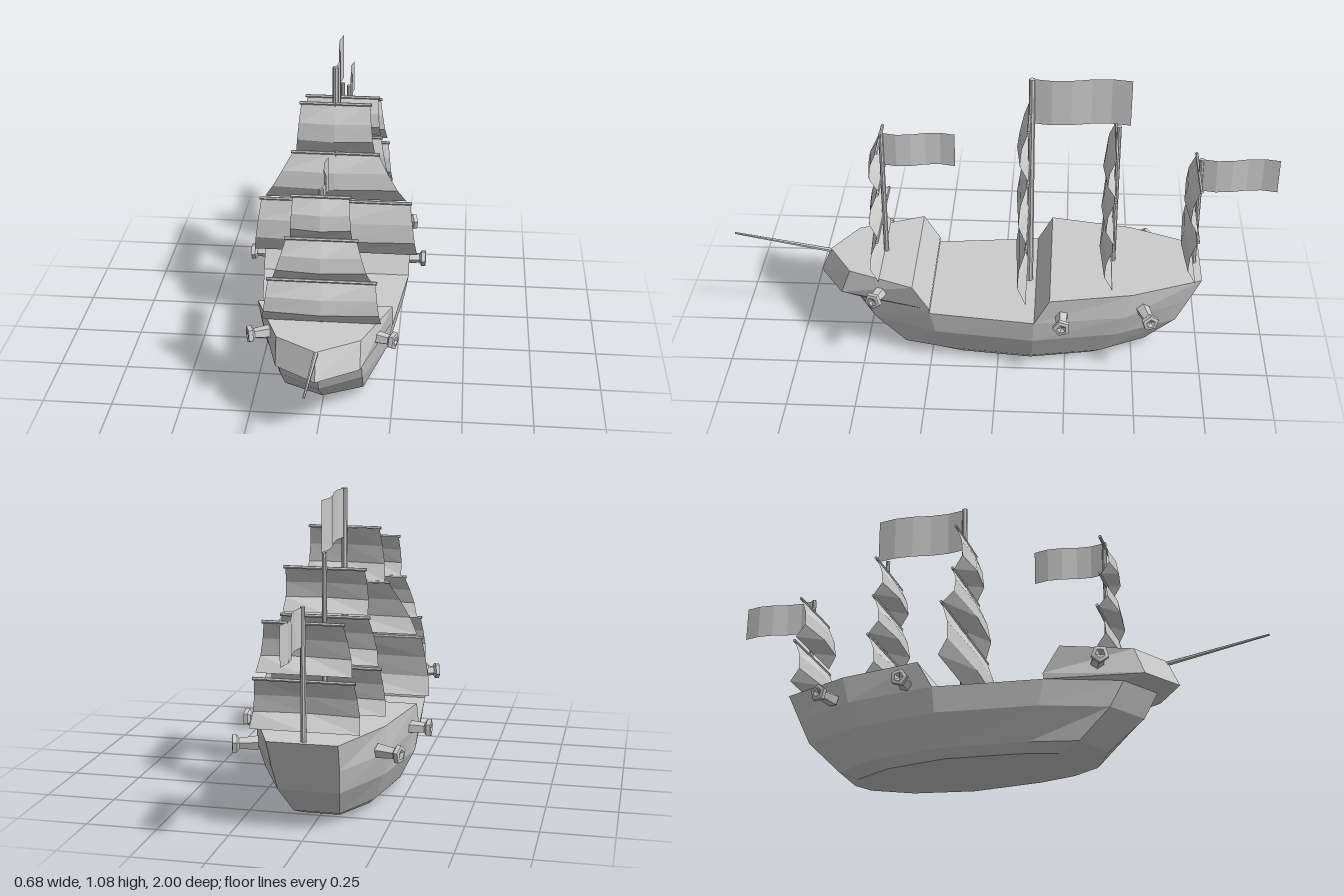
import * as THREE from 'three';

const solid = new THREE.MeshStandardMaterial({ color: 0xcccccc, flatShading: true });
const cloth = new THREE.MeshStandardMaterial({ color: 0xcccccc, flatShading: true, side: THREE.DoubleSide });

function add(parent, name, geometry, material = solid) {
  const mesh = new THREE.Mesh(geometry, material);
  mesh.name = name;
  parent.add(mesh);
  return mesh;
}

// Closed loft through half outlines [x, y, z] that run bow to stern and are mirrored across x
function loft(halves) {
  const rings = halves.map(h =>
    h.concat(h.filter(p => p[0] > 0).reverse().map(([x, y, z]) => [-x, y, z])));
  const pos = [];
  const tri = (...pts) => pts.forEach(p => pos.push(...p));
  const n = rings[0].length;
  for (let r = 0; r + 1 < rings.length; r++) {
    const a = rings[r], b = rings[r + 1];
    for (let i = 0; i < n; i++) {
      const j = (i + 1) % n;
      tri(a[i], a[j], b[j]);
      tri(a[i], b[j], b[i]);
    }
  }
  const low = rings[0], top = rings[rings.length - 1];
  for (let i = 1; i + 1 < n; i++) {
    tri(top[0], top[i], top[i + 1]);
    tri(low[0], low[i + 1], low[i]);
  }
  const g = new THREE.BufferGeometry();
  g.setAttribute('position', new THREE.Float32BufferAttribute(pos, 3));
  g.computeVertexNormals();
  return g;
}

// Rod between two points
function rod(parent, name, from, to, r0, r1, sides) {
  const a = new THREE.Vector3(...from), b = new THREE.Vector3(...to);
  const d = b.clone().sub(a);
  const m = add(parent, name, new THREE.CylinderGeometry(r1, r0, d.length(), sides));
  m.position.copy(a).add(b).multiplyScalar(0.5);
  m.quaternion.setFromUnitVectors(new THREE.Vector3(0, 1, 0), d.normalize());
  return m;
}

// Billowing sail: fullest along the centre line, widening towards the foot
function sailGeometry(top, bottom, wTop, wBottom) {
  const g = new THREE.PlaneGeometry(2, 1, 2, 3);
  const p = g.attributes.position;
  const rows = [[0, 0], [0.36, 0.8], [0.7, 1], [1, 0]];
  for (let i = 0; i < p.count; i++) {
    const [t, bulge] = rows[Math.floor(i / 3)];
    const u = p.getX(i);
    p.setXYZ(i, u * THREE.MathUtils.lerp(wTop, wBottom, t),
      THREE.MathUtils.lerp(top, bottom, t), bulge * (0.045 - 0.015 * Math.abs(u)));
  }
  g.computeVertexNormals();
  return g;
}

// Waving flag that trails aft from its mast
function flagGeometry(length, height) {
  const g = new THREE.PlaneGeometry(length, height, 5, 1);
  g.translate(length / 2, 0, 0).rotateY(Math.PI / 2);
  const p = g.attributes.position;
  for (let i = 0; i < p.count; i++) {
    p.setX(i, 0.012 * Math.sin(-p.getZ(i) / length * Math.PI * 2));
  }
  g.computeVertexNormals();
  return g;
}

export function createModel() {
  const ship = new THREE.Group();
  ship.name = 'sailingShip';

  // Hull, from the flat keel up to the main deck
  const level = (y, pts) => pts.map(([x, z]) => [x, y, z]);
  const deck = level(0.23, [[0, 0.6], [0.145, 0.51], [0.237, 0.25], [0.28, -0.135], [0.228, -0.465], [0.115, -0.7]]);
  add(ship, 'hull', loft([
    level(0, [[0, 0.33], [0.12, 0.27], [0.155, 0.14], [0.18, -0.12], [0.14, -0.34], [0.065, -0.48]]),
    level(0.03, [[0, 0.42], [0.142, 0.35], [0.18, 0.18], [0.21, -0.125], [0.165, -0.38], [0.08, -0.55]]),
    level(0.14, [[0, 0.55], [0.145, 0.46], [0.225, 0.23], [0.265, -0.13], [0.21, -0.435], [0.105, -0.66]]),
    deck,
  ]));

  // Raised decks at both ends; the forward one overhangs the bow
  add(ship, 'quarterdeck', loft([
    deck.slice(3),
    level(0.33, [[0.28, -0.19], [0.225, -0.49], [0.12, -0.745]]),
  ]));
  add(ship, 'forecastle', loft([
    deck.slice(0, 3),
    [[0, 0.25, 0.68], [0.145, 0.25, 0.585], [0.24, 0.25, 0.25]],
    level(0.345, [[0, 0.64], [0.145, 0.55], [0.24, 0.31]]),
  ]));
  rod(ship, 'bowsprit', [0, 0.33, 0.6], [0, 0.402, 1], 0.009, 0.004, 6);

  // Masts: z, foot, top, radius, flag [length, height], sails [top, bottom, top half width, bottom half width]
  const masts = [
    { name: 'foreMast', z: 0.43, y0: 0.33, y1: 0.85, r: 0.01, flag: [0.265, 0.13],
      sails: [[0.825, 0.67, 0.095, 0.105], [0.665, 0.51, 0.12, 0.17], [0.505, 0.345, 0.185, 0.207]] },
    { name: 'mainMast', z: -0.11, y0: 0.22, y1: 1.08, r: 0.013, flag: [0.35, 0.175],
      sails: [[0.94, 0.75, 0.125, 0.145], [0.745, 0.56, 0.158, 0.265], [0.55, 0.335, 0.28, 0.31]] },
    { name: 'aftMast', z: -0.42, y0: 0.32, y1: 0.9, r: 0.01,
      sails: [[0.845, 0.69, 0.137, 0.148], [0.68, 0.515, 0.15, 0.185], [0.505, 0.34, 0.19, 0.21]] },
    { name: 'mizzenMast', z: -0.72, y0: 0.32, y1: 0.775, r: 0.01, flag: [0.28, 0.13],
      sails: [[0.72, 0.55, 0.13, 0.16], [0.53, 0.36, 0.165, 0.185]] },
  ];
  for (const { name, z, y0, y1, r, flag, sails } of masts) {
    const rig = new THREE.Group();
    rig.name = name + 'Rig';
    rig.position.z = z;
    ship.add(rig);
    rod(rig, name, [0, y0, 0], [0, y1, 0], r, r * 0.85, 8);
    for (const [top, bottom, wt, wb] of sails) {
      rod(rig, 'yard', [-wt - 0.006, top, 0.006], [wt + 0.006, top, 0.006], 0.006, 0.006, 6);
      add(rig, 'sail', sailGeometry(top, bottom, wt, wb), cloth).position.z = 0.006;
    }
    if (flag) add(rig, 'flag', flagGeometry(...flag), cloth).position.y = y1 - flag[1] / 2;
  }

  // Cannons with flared muzzles, three on each side: x, y, z, turn towards the bow
  const profile = [[0, 0], [0.026, 0], [0.019, 0.065], [0.032, 0.073], [0.032, 0.088], [0.018, 0.09], [0, 0.08]];
  const barrel = new THREE.LatheGeometry(profile.map(p => new THREE.Vector2(...p)), 5);
  for (const side of [1, -1]) {
    for (const [x, y, z, turn] of [[0.175, 0.29, 0.425, 0.35], [0.252, 0.255, -0.235, 0], [0.207, 0.255, -0.53, -0.3]]) {
      const m = add(ship, side > 0 ? 'leftCannon' : 'rightCannon', barrel);
      m.position.set(side * x, y, z);
      m.quaternion.setFromUnitVectors(new THREE.Vector3(0, 1, 0),
        new THREE.Vector3(side * Math.cos(turn), 0, Math.sin(turn)));
    }
  }
  return ship;
}
